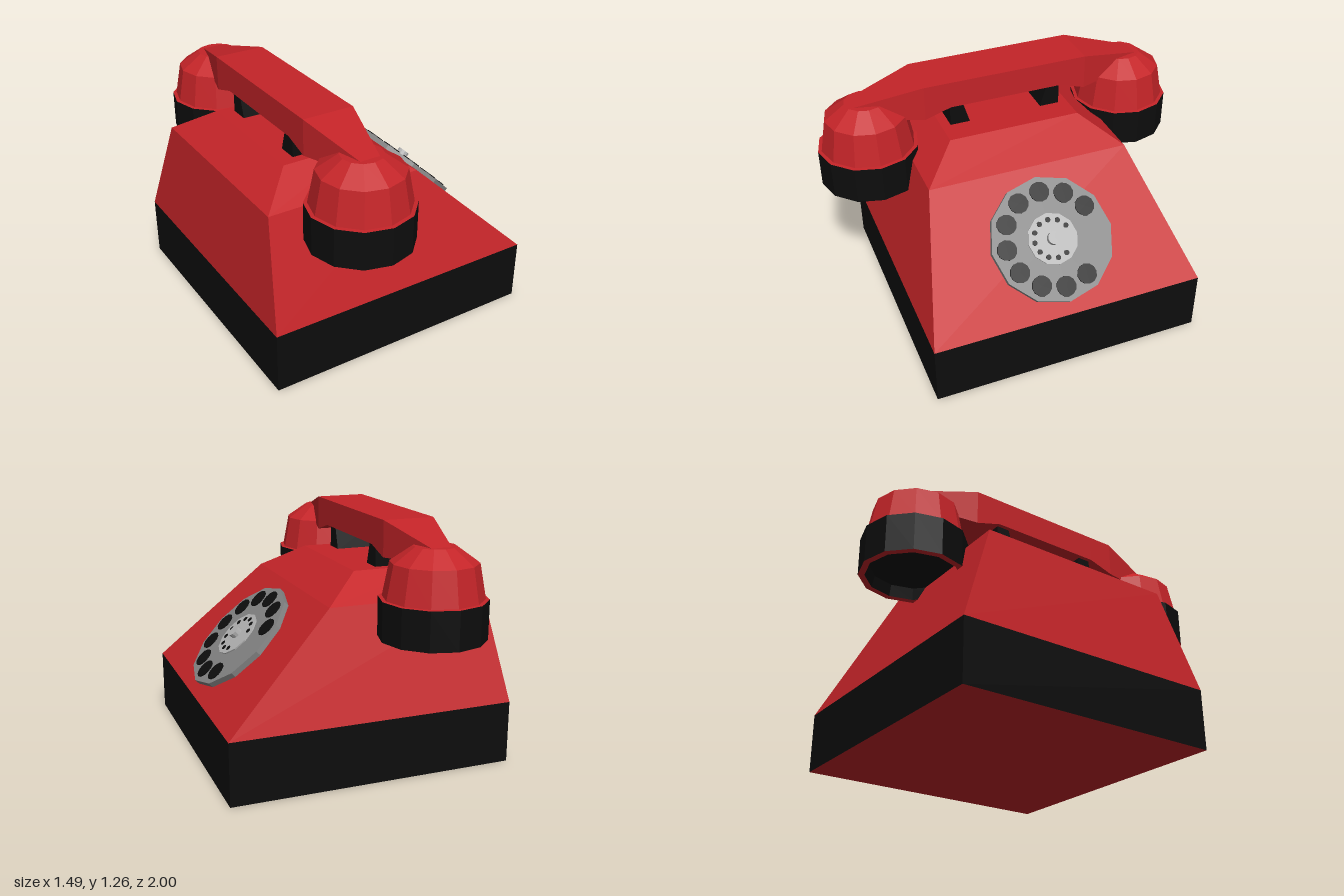
import * as THREE from 'three';

const material = (color, side = THREE.FrontSide) =>
  new THREE.MeshStandardMaterial({ color, flatShading: true, side });
const red = material(0xc42428);
const black = material(0x0d0d0d);
const redOpen = material(0xc42428, THREE.DoubleSide);
const blackOpen = material(0x0d0d0d, THREE.DoubleSide);
const grey = material(0x858585);
const paleGrey = material(0xb4b4b4);

function add(parent, name, geometry, mat, x = 0, y = 0, z = 0) {
  const mesh = new THREE.Mesh(geometry, mat);
  mesh.name = name;
  mesh.position.set(x, y, z);
  parent.add(mesh);
  return mesh;
}

// Skin four-cornered rings, each counter-clockwise seen from the far end
function loft(rings, capStart, capEnd) {
  const p = [];
  const quad = (a, b, c, d) => p.push(...a, ...b, ...c, ...a, ...c, ...d);
  for (let k = 0; k + 1 < rings.length; k++) {
    for (let i = 0; i < 4; i++) {
      const j = (i + 1) % 4;
      quad(rings[k][i], rings[k][j], rings[k + 1][j], rings[k + 1][i]);
    }
  }
  if (capStart) quad(...[...rings[0]].reverse());
  if (capEnd) quad(...rings[rings.length - 1]);
  const geometry = new THREE.BufferGeometry();
  geometry.setAttribute('position', new THREE.Float32BufferAttribute(p, 3));
  geometry.computeVertexNormals();
  return geometry;
}

const levelRing = (y, x0, x1, z) => [[x0, y, z], [x1, y, z], [x1, y, -z], [x0, y, -z]];
const lathe = (points) =>
  new THREE.LatheGeometry(points.map(([r, y]) => new THREE.Vector2(r, y)), 12);

function createDial() {
  const dial = new THREE.Group();
  dial.name = 'dial';
  const disc = (name, r, y0, y1, mat, x = 0, z = 0) =>
    add(dial, name, new THREE.CylinderGeometry(r, r, y1 - y0, 12), mat, x, (y0 + y1) / 2, z);
  disc('dialPlate', 0.33, -0.005, 0.03, grey);
  disc('dialCentre', 0.135, 0.02, 0.037, paleGrey);
  disc('dialHub', 0.034, 0.03, 0.065, paleGrey);
  // Ten finger holes, with a gap at the stop, and a mark beside each
  for (let i = 0; i < 10; i++) {
    const a = THREE.MathUtils.degToRad(150 + 30 * i);
    const c = -Math.cos(a), s = -Math.sin(a);
    disc('fingerHole', 0.053, 0.02, 0.036, black, 0.25 * c, 0.25 * s);
    disc('dialMark', 0.014, 0.03, 0.039, black, 0.1 * c, 0.1 * s);
  }
  dial.position.set(0.46, 0.595, 0);
  dial.rotation.z = -Math.atan2(0.54, 0.57);
  return dial;
}

function createHandset() {
  const handset = new THREE.Group();
  handset.name = 'handset';
  handset.position.x = -0.285;

  // Grip sections: z, half width, underside, top
  const sections = [[0.81, 0.05, 1.1, 1.17], [0.45, 0.137, 1.07, 1.257], [0.31, 0.137, 1.113, 1.257]];
  const all = [
    ...sections.map(([z, ...rest]) => [-z, ...rest]),
    ...[...sections].reverse(),
  ];
  const rings = all.map(([z, w, lo, hi]) => [[-w, lo, z], [w, lo, z], [w, hi, z], [-w, hi, z]]);
  add(handset, 'grip', loft(rings, true, true), red);

  // Earpiece and mouthpiece
  for (const [name, z] of [['earpiece', -0.733], ['mouthpiece', 0.733]]) {
    const cup = new THREE.Group();
    cup.name = name;
    cup.position.z = z;
    add(cup, 'cupDome', lathe([[0.267, 0.92], [0.248, 0.922], [0.215, 1.095], [0.105, 1.172], [0, 1.174]]), redOpen);
    add(cup, 'cupBand', lathe([[0.267, 0.722], [0.267, 0.92]]), blackOpen);
    add(cup, 'cupRim', lathe([[0.235, 0.722], [0.267, 0.722]]), redOpen);
    add(cup, 'cupRecess', lathe([[0, 0.78], [0.22, 0.78], [0.235, 0.722]]), blackOpen);
    handset.add(cup);
  }
  return handset;
}

export function createModel() {
  const model = new THREE.Group();
  model.name = 'telephone';

  // Base and sloping case
  const foot = levelRing(0, -0.745, 0.745, 0.732);
  const waist = levelRing(0.325, -0.745, 0.745, 0.732);
  const shoulder = levelRing(0.865, -0.67, 0.175, 0.547);
  const top = levelRing(0.993, -0.48, -0.03, 0.36);
  add(model, 'baseBand', loft([foot, waist]), black);
  add(model, 'case', loft([waist, shoulder, top], false, true), red);
  const underside = add(model, 'underside', new THREE.PlaneGeometry(1.49, 1.464), red);
  underside.rotation.x = Math.PI / 2;

  // Cradle prongs under the grip, sloping on their inner sides
  for (const side of [-1, 1]) {
    const prong = new THREE.Shape();
    prong.moveTo(0.2, 0.985);
    prong.lineTo(0.31, 0.985);
    prong.lineTo(0.31, 1.116);
    prong.lineTo(0.24, 1.116);
    const geometry = new THREE.ExtrudeGeometry(prong, { depth: 0.23, bevelEnabled: false });
    geometry.translate(0, 0, -0.115);
    const mesh = add(model, 'cradleProng', geometry, black, -0.285, 0, 0);
    mesh.rotation.y = -side * Math.PI / 2;
  }

  model.add(createDial(), createHandset());
  return model;
}
